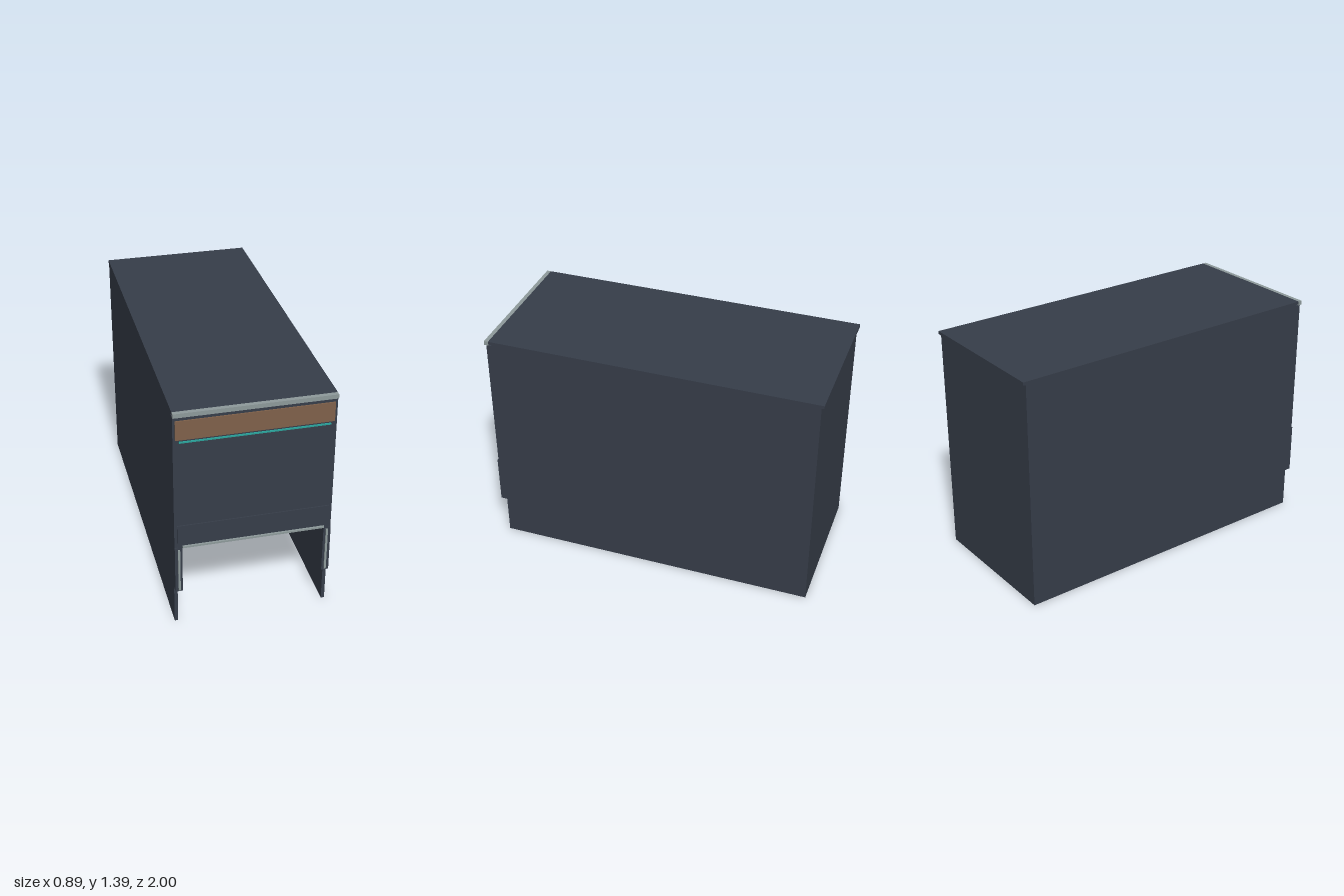
import * as THREE from 'three';

const paint = (name, color) => {
  const m = new THREE.MeshStandardMaterial({ color });
  m.name = name;
  return m;
};

export function createModel() {
  const slate = paint('dark slate', 0x363d49);
  const brown = paint('walnut brown', 0x80614a);
  const teal = paint('teal', 0x2aa39b);
  const steel = paint('pale steel', 0x8e9a9b);

  const model = new THREE.Group();
  model.name = 'openBottomCabinet';

  // Box given by its lower and upper limits on each axis
  const box = (name, material, [x0, x1], [y0, y1], [z0, z1]) => {
    const mesh = new THREE.Mesh(new THREE.BoxGeometry(x1 - x0, y1 - y0, z1 - z0), material);
    mesh.position.set((x0 + x1) / 2, (y0 + y1) / 2, (z0 + z1) / 2);
    mesh.name = name;
    model.add(mesh);
  };
  // Box centred across the width
  const wide = (name, material, half, y, z) => box(name, material, [-half, half], y, z);
  // Mirrored pair at the left and right
  const pair = (name, material, [x0, x1], y, z) => {
    box(name + 'Left', material, [x0, x1], y, z);
    box(name + 'Right', material, [-x1, -x0], y, z);
  };

  // Shell, open underneath and at the lower front
  pair('sidePanel', slate, [0.425, 0.445], [0, 1.372], [-0.985, 0.95]);
  wide('backPanel', slate, 0.425, [0, 1.372], [-0.985, -0.965]);
  wide('topPanel', slate, 0.445, [1.372, 1.39], [-1, 0.97]);
  wide('frontPanel', slate, 0.445, [0.537, 1.365], [0.95, 0.982]);

  // Front top edge and drawer band
  wide('topEdgeTrim', steel, 0.445, [1.365, 1.39], [0.97, 0.995]);
  wide('woodBand', brown, 0.432, [1.226, 1.341], [0.982, 0.989]);
  wide('accentStrip', teal, 0.412, [1.207, 1.215], [0.982, 0.99]);

  // Panel above the opening
  wide('lintelPanel', slate, 0.429, [0.537, 0.682], [0.982, 0.989]);
  wide('lintelStrip', steel, 0.402, [0.541, 0.552], [0.989, 1]);

  // Short posts beside the opening
  pair('doorPost', slate, [0.403, 0.445], [0.24, 0.537], [0.95, 0.989]);
  pair('postStrip', steel, [0.416, 0.428], [0.25, 0.526], [0.989, 0.996]);

  return model;
}
